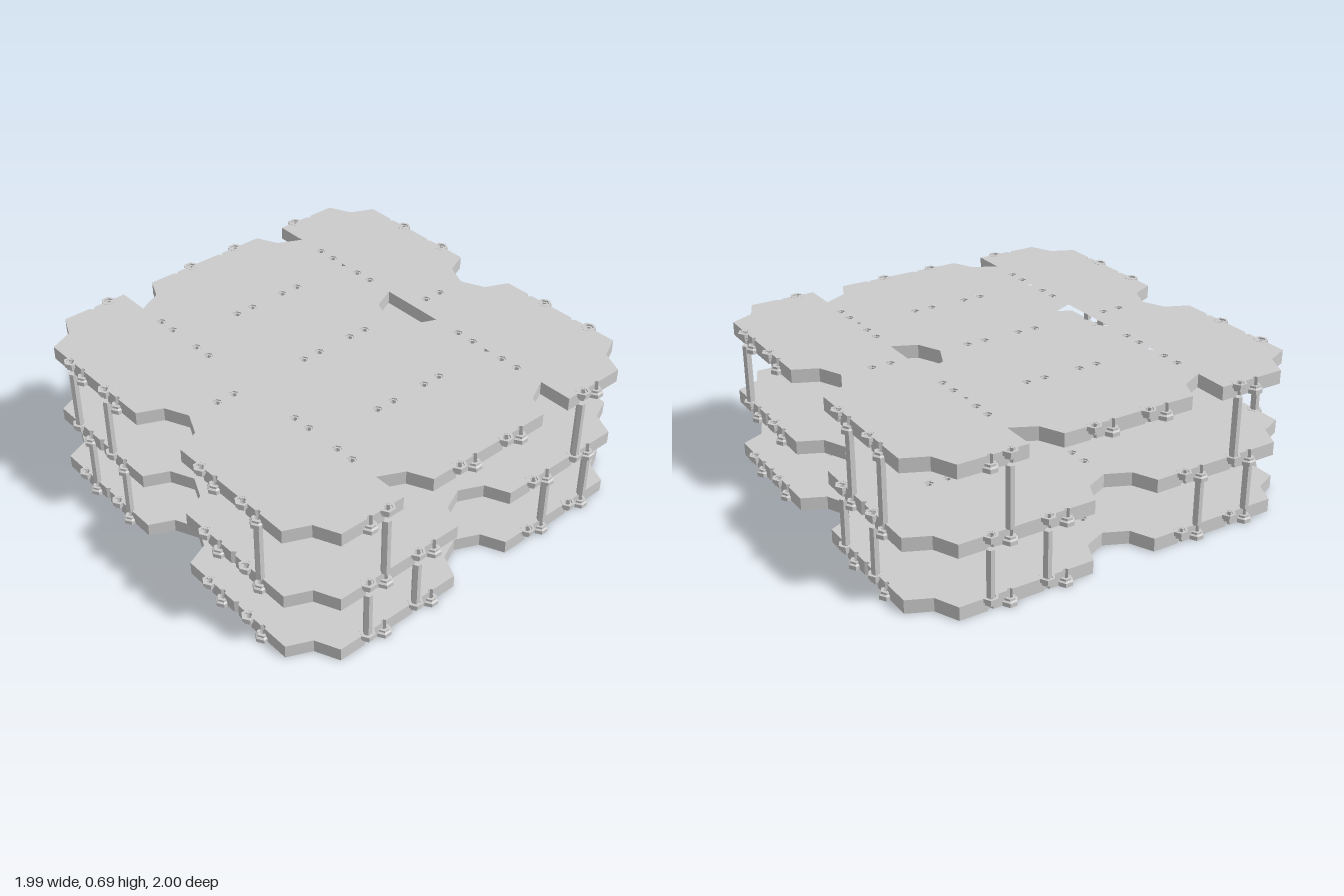
import * as THREE from 'three';

const E = 0.965;          // half width of a deck
const H = E / 2;          // one tile is E wide, so seams lie on multiples of H
const T = 0.065;          // deck thickness
const BORE = 0.013;
const LEVELS = [0, 0.285, 0.63];
const EDGE = [-0.66, -0.57, -0.39, -0.30, 0.30, 0.39, 0.57, 0.66];
const MID = [-0.18, -0.09, 0.09, 0.18];
const OUTER = [-0.66, -0.57, 0.57, 0.66];

const mat = new THREE.MeshStandardMaterial({ color: 0xcccccc, flatShading: true });

// Turn a point (s along a side, d outwards) to side k: front, right, back, left
const turn = (k, s, d) => [[s, d], [d, -s], [-s, -d], [-d, s]][k];

// Six-sided ring from a closed (radius, height) profile
function ring(points) {
  return new THREE.LatheGeometry(points.map(p => new THREE.Vector2(...p)), 6);
}

// Half-height collar on the deck edge, wide at its outer end, with a nut recess
const collarGeo = ring([[BORE, 0], [0.026, 0], [0.026, 0.01], [0.035, 0.015], [0.035, 0.034],
  [0.023, 0.034], [0.023, 0.026], [BORE, 0.026], [BORE, 0]]);

// Insert filling a seam hole
const insertGeo = ring([[BORE, 0.008], [0.021, 0.008], [0.021, 0.002], [0.027, 0.002],
  [0.027, T - 0.002], [0.021, T - 0.002], [0.021, T - 0.008], [BORE, T - 0.008], [BORE, 0.008]]);

// Half-hexagon bolt notches along a straight edge, from left to right
function notches(list, d) {
  return list.flatMap(s => [[s - BORE, d], [s - BORE / 2, d - BORE * 0.87],
    [s + BORE / 2, d - BORE * 0.87], [s + BORE, d]]);
}

const vee = s => [[s - 0.015, E], [s, E - 0.018], [s + 0.015, E]];

// Side with two full tiles meeting at a stepped gap
function fullSide(withVees) {
  const half = sign => {
    const list = EDGE.filter(s => s * sign > 0);
    return [...notches(list.slice(0, 2), E), ...(withVees ? vee(sign * H) : []),
      ...notches(list.slice(2), E)];
  };
  return [[-0.855, 0.855], [-0.805, E], ...half(-1), [-0.16, E], [-0.11, 0.855], [0, 0.805],
    [0.11, 0.855], [0.16, E], ...half(1), [0.805, E]];
}

// Side with one full tile between two half tiles
function splitSide() {
  return [[-0.855, 0.855], [-0.805, E], ...notches([-0.66, -0.57], E),
    [-H, E], [-H, 0.805], [-0.37, 0.86], [-0.32, E],
    ...notches(MID, E),
    [0.32, E], [0.37, 0.86], [H, 0.805], [H, E],
    ...notches([0.57, 0.66], E), [0.805, E]];
}

const toPath = (pts, Type) => new Type(pts.map(p => new THREE.Vector2(...p)));

function hexagon(x, z, r) {
  return [...Array(6)].map((_, i) => {
    const a = i * Math.PI / 3;
    return [x + r * Math.sin(a), z + r * Math.cos(a)];
  });
}

// Positions of the seam holes in a deck
function seamHoles(isTop) {
  const out = [];
  if (isTop) {
    for (const s of [-1, 1]) {
      EDGE.forEach(x => out.push([x, s * H]));
      MID.forEach(z => out.push([s * H, z]));
    }
    [...OUTER, ...MID].forEach(z => out.push([0, z]));
  } else {
    EDGE.forEach(v => out.push([v, 0], [0, v], [H, v], [-H, v]));
  }
  return out;
}

function makeDeck(isTop) {
  const deck = new THREE.Group();

  // Plate outline, side by side
  const outline = [];
  for (let k = 0; k < 4; k++) {
    const side = isTop && k % 2 ? splitSide() : fullSide(!isTop && k % 2 === 0);
    side.forEach(([s, d]) => outline.push(turn(k, s, d)));
  }
  const shape = toPath(outline, THREE.Shape);
  const cut = pts => shape.holes.push(toPath(pts, THREE.Path));
  const seams = seamHoles(isTop);
  seams.forEach(([x, z]) => cut(hexagon(x, z, 0.026)));

  // Gaps between tile corners, and small gaps where half tiles meet
  if (isTop) {
    for (const s of [-1, 1]) {
      cut([[-0.16, s * H], [0.16, s * H], [0.11, s * 0.37], [0, s * 0.32], [-0.11, s * 0.37]]);
      for (const x of [-H, H]) {
        cut([[x - 0.015, s * H], [x + 0.015, s * H], [x, s * (H - 0.018)]]);
      }
    }
  } else {
    cut([[0.16, 0], [0.11, 0.11], [0, 0.16], [-0.11, 0.11], [-0.16, 0], [-0.11, -0.11],
      [0, -0.16], [0.11, -0.11]]);
    for (const x of [-H, H]) cut([[x - 0.015, 0], [x, 0.018], [x + 0.015, 0], [x, -0.018]]);
  }
  const plateGeo = new THREE.ExtrudeGeometry(shape, { depth: T - 0.002, bevelEnabled: false });
  plateGeo.rotateX(Math.PI / 2).translate(0, T - 0.001, 0);
  const plate = new THREE.Mesh(plateGeo, mat);
  plate.name = 'plate';
  deck.add(plate);

  // Seam inserts
  for (const [x, z] of seams) {
    const insert = new THREE.Mesh(insertGeo, mat);
    insert.name = 'seamInsert';
    insert.position.set(x, 0, z);
    deck.add(insert);
  }

  // Edge collars, alternating between upper and lower half
  for (let k = 0; k < 4; k++) {
    const split = isTop && k % 2;
    const list = split ? [-0.66, -0.57, ...MID, 0.57, 0.66] : EDGE;
    const upper = split ? [0, 1, 1, 0, 1, 0, 1, 0] : [1, 0, 1, 0, 1, 0, 1, 0];
    list.forEach((s, i) => {
      const [x, z] = turn(k, s, E);
      const collar = new THREE.Mesh(collarGeo, mat);
      collar.name = 'edgeCollar';
      collar.position.set(x, upper[i] ? T - 0.034 : 0.034, z);
      if (!upper[i]) collar.rotation.x = Math.PI;
      deck.add(collar);
    });
  }
  return deck;
}

// Hexagonal posts between two decks: front and back at frontX, sides at sideZ
function makePosts(from, to, frontX, sideZ) {
  const posts = new THREE.Group();
  const geo = new THREE.CylinderGeometry(0.02, 0.02, to - from, 6);
  const spots = [];
  for (const s of [-1, 1]) {
    frontX.forEach(x => spots.push([x, s * E]));
    sideZ.forEach(z => spots.push([s * E, z]));
  }
  for (const [x, z] of spots) {
    const post = new THREE.Mesh(geo, mat);
    post.name = 'post';
    post.position.set(x, (from + to) / 2, z);
    posts.add(post);
  }
  return posts;
}

export function createModel() {
  const model = new THREE.Group();
  model.name = 'layeredDeckFrame';
  const add = (part, name) => { part.name = name; part.position.z -= 0.003; model.add(part); };

  ['bottomDeck', 'middleDeck', 'topDeck'].forEach((name, i) => {
    const deck = makeDeck(i === 2);
    deck.position.y = LEVELS[i];
    add(deck, name);
  });
  add(makePosts(LEVELS[0] + T, LEVELS[1], [-0.57, -0.30], [-0.66, -0.39, 0.39, 0.66]), 'lowerPosts');
  add(makePosts(LEVELS[1] + T, LEVELS[2], [-0.66, -0.39, 0.66], [-0.57, 0.57]), 'upperPosts');
  return model;
}
